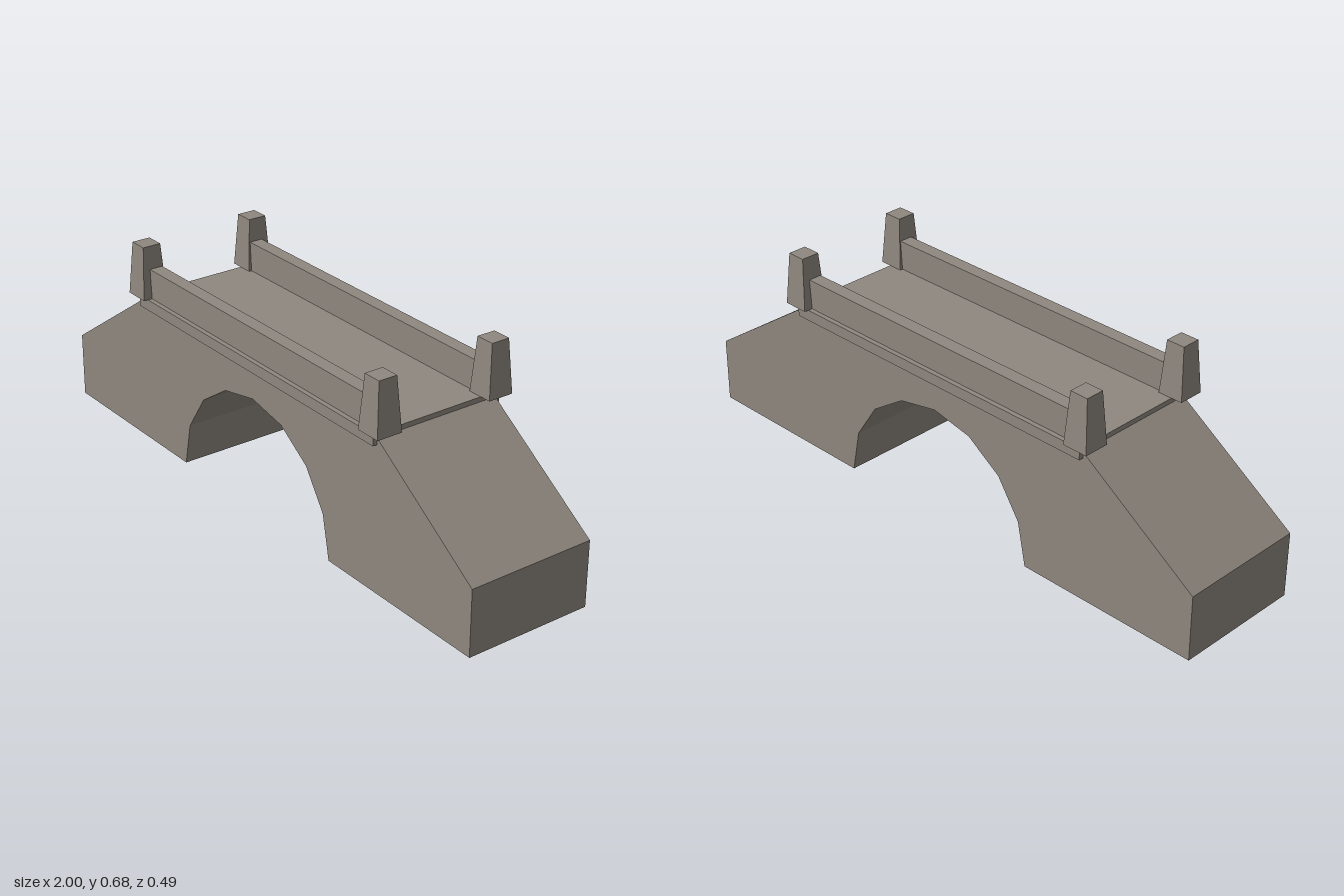
import * as THREE from 'three';

const HALF_WIDTH = 0.213;   // half depth of the bridge body
const ARCH_R = 0.375;
const INNER_X = 0.57;       // where the solid end blocks meet the hollow middle
const SHOULDER = 0.493;     // height at the top of the ramps

export function createModel() {
  const stone = new THREE.MeshStandardMaterial({ color: 0x8f887f, flatShading: true, side: THREE.DoubleSide });
  stone.name = 'weathered stone';
  const bridge = new THREE.Group();
  bridge.name = 'stoneBridge';

  const add = (name, geometry, x = 0, y = 0, z = 0) => {
    const mesh = new THREE.Mesh(geometry, stone);
    mesh.name = name;
    mesh.position.set(x, y, z);
    bridge.add(mesh);
    return mesh;
  };
  const shapeOf = (points) => new THREE.Shape(points.map(([x, y]) => new THREE.Vector2(x, y)));

  // solid end blocks with sloping ramps
  for (const s of [1, -1]) {
    const profile = [[INNER_X, 0], [1, 0], [1, 0.215], [0.59, SHOULDER], [INNER_X, SHOULDER]];
    const block = new THREE.ExtrudeGeometry(
      shapeOf(profile.map(([x, y]) => [x * s, y])),
      { depth: HALF_WIDTH * 2, bevelEnabled: false });
    add(s > 0 ? 'leftRampBlock' : 'rightRampBlock', block, 0, 0, -HALF_WIDTH);
  }

  // thin side walls pierced by the arch; the piers are open underneath
  const wallPoints = [[INNER_X, 0], [INNER_X, SHOULDER], [-INNER_X, SHOULDER], [-INNER_X, 0]];
  for (let i = 8; i >= 0; i--) {
    const a = (i / 8) * Math.PI;
    wallPoints.push([Math.cos(a) * ARCH_R, Math.sin(a) * ARCH_R]);
  }
  const wall = new THREE.ShapeGeometry(shapeOf(wallPoints));
  add('frontWall', wall, 0, 0, HALF_WIDTH);
  add('backWall', wall, 0, 0, -HALF_WIDTH).rotation.y = Math.PI;

  // faceted underside of the arch
  const vault = new THREE.CylinderGeometry(ARCH_R, ARCH_R, HALF_WIDTH * 2, 8, 1, true, Math.PI / 2, Math.PI);
  vault.rotateX(Math.PI / 2);
  add('archVault', vault);

  // deck slab
  add('deck', new THREE.BoxGeometry(1.182, 0.036, 0.456), 0, 0.49, 0);

  // parapets and tapered corner posts
  const parapet = new THREE.BoxGeometry(1.12, 0.097, 0.045);
  const post = new THREE.CylinderGeometry(0.031 * Math.SQRT2, 0.0425 * Math.SQRT2, 0.172, 4);
  post.rotateY(Math.PI / 4);
  for (const sz of [1, -1]) {
    const side = sz > 0 ? 'front' : 'back';
    add(side + 'Parapet', parapet, 0, 0.5565, sz * 0.19);
    for (const sx of [1, -1]) {
      add(side + (sx > 0 ? 'Left' : 'Right') + 'Post', post, sx * 0.586, 0.594, sz * 0.2);
    }
  }
  return bridge;
}
